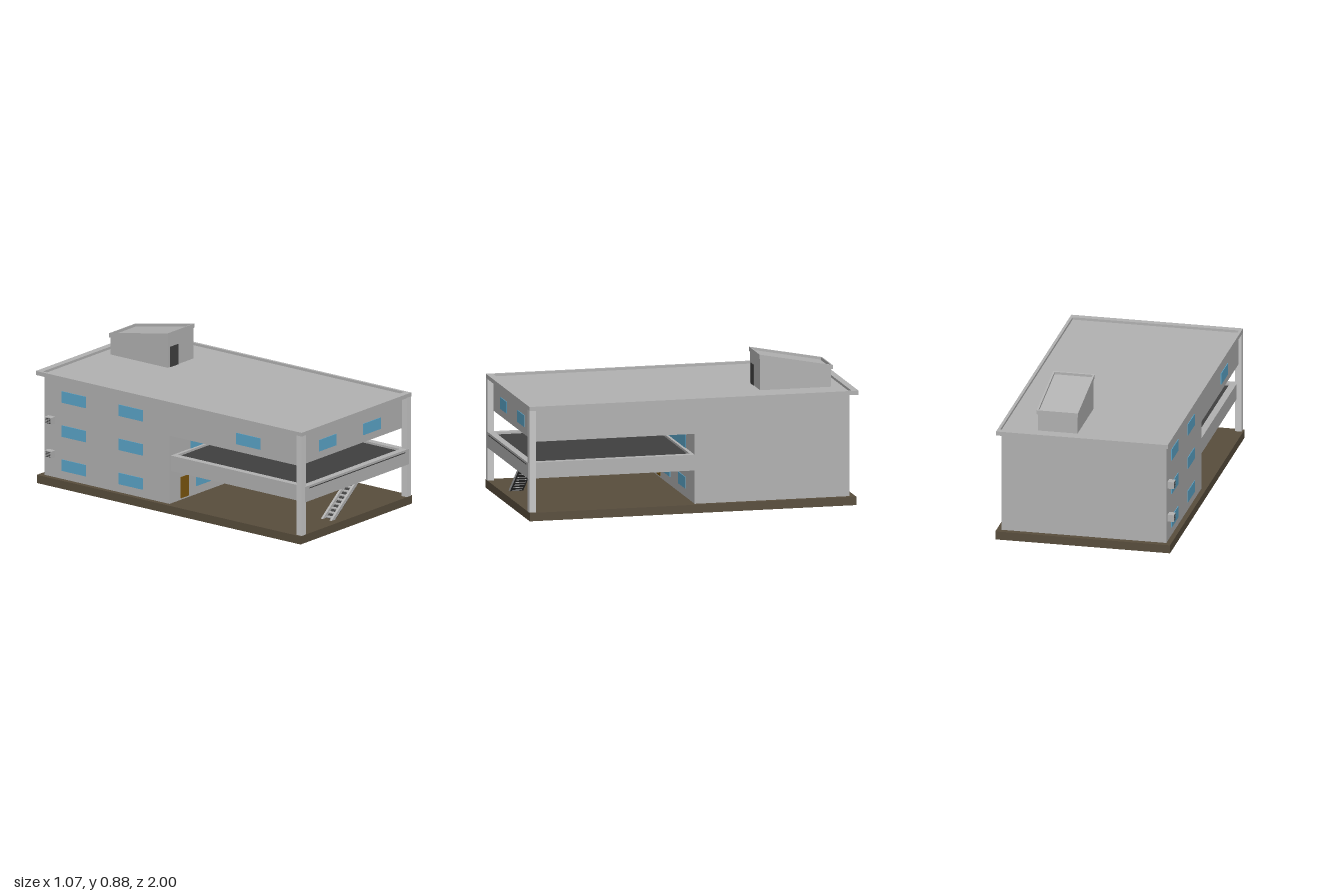
import * as THREE from 'three';

const mat = (name, color) => {
  const m = new THREE.MeshStandardMaterial({ color });
  m.name = name;
  return m;
};

export function createModel() {
  const concrete = mat('concrete grey', 0xb3b3b3);
  const pillarGrey = mat('pillar light grey', 0xc8c8c8);
  const soil = mat('base brown', 0x594e3d);
  const glass = mat('window blue', 0x5ca6ca);
  const wood = mat('door brown', 0x7c560e);
  const dark = mat('dark grey', 0x404040);

  const model = new THREE.Group();
  model.name = 'building';

  const add = (name, geometry, material) => {
    const mesh = new THREE.Mesh(geometry, material);
    mesh.name = name;
    model.add(mesh);
    return mesh;
  };
  // Box given by its limits on each axis
  const box = (name, material, x0, x1, y0, y1, z0, z1) => add(name,
    new THREE.BoxGeometry(x1 - x0, y1 - y0, z1 - z0)
      .translate((x0 + x1) / 2, (y0 + y1) / 2, (z0 + z1) / 2), material);
  // Rectangular frame lying flat, with border widths tx and tz
  const ring = (x0, x1, y0, y1, z0, z1, tx, tz) => {
    const rect = (P, a, b, c, d) => new P([[a, c], [b, c], [b, d], [a, d]].map(p => new THREE.Vector2(...p)));
    const shape = rect(THREE.Shape, x0, x1, -z1, -z0);
    shape.holes.push(rect(THREE.Path, x0 + tx, x1 - tx, -z1 + tz, -z0 - tz));
    return new THREE.ExtrudeGeometry(shape, { depth: y1 - y0, bevelEnabled: false })
      .rotateX(-Math.PI / 2).translate(0, y0, 0);
  };

  // Ground slab, enclosed rear block and overhanging top floor
  box('base', soil, -0.525, 0.53, 0, 0.05, -0.985, 1);
  box('rearBlock', concrete, -0.495, 0.5, 0.05, 0.662, -0.95, -0.01);
  box('upperFloor', concrete, -0.495, 0.5, 0.47, 0.662, -0.01, 0.965);

  // Front pillars
  box('rightPillar', pillarGrey, -0.515, -0.475, 0.05, 0.662, 0.96, 1);
  box('leftPillar', pillarGrey, 0.48, 0.52, 0.05, 0.662, 0.96, 1);

  // Main roof with a low parapet
  box('roofSlab', concrete, -0.505, 0.51, 0.66, 0.67, -0.98, 0.98);
  add('roofParapet', ring(-0.515, 0.522, 0.66, 0.685, -1, 1, 0.017, 0.04), concrete);

  // Middle deck: rim around a dark floor
  add('deckRim', ring(-0.483, 0.4995, 0.25, 0.345, -0.03, 1.002, 0.04, 0.04), concrete);
  box('deckFloor', dark, -0.442, 0.46, 0.327, 0.332, -0.01, 1.004);

  // Flat panels on the wall behind the deck
  const frontPanel = (name, m, x0, x1, y0, y1, z) => box(name, m, x0, x1, y0, y1, z, z + 0.004);
  frontPanel('groundDoor', wood, -0.39, -0.315, 0.06, 0.19, -0.01);
  frontPanel('groundWindow', glass, -0.245, -0.08, 0.1, 0.17, -0.01);
  frontPanel('groundWindow', glass, 0.115, 0.285, 0.1, 0.17, -0.01);
  frontPanel('deckWindow', glass, -0.298, 0.296, 0.244, 0.443, -0.01);
  frontPanel('upperWindow', glass, -0.305, -0.145, 0.515, 0.585, 0.965);
  frontPanel('upperWindow', glass, 0.108, 0.272, 0.515, 0.585, 0.965);

  // Windows along the right wall
  const sideWindow = (y, z) =>
    box('sideWindow', glass, -0.499, -0.495, y - 0.035, y + 0.035, z - 0.09, z + 0.09);
  for (const y of [0.135, 0.345, 0.555]) {
    for (const z of [-0.73, -0.3]) sideWindow(y, z);
  }
  sideWindow(0.55, 0.585);

  // Air conditioners with dark grilles
  const airConditioner = (x, y, z, turn) => {
    const unit = new THREE.Group();
    unit.name = 'airConditioner';
    const body = new THREE.Mesh(new THREE.BoxGeometry(0.05, 0.042, 0.038), concrete);
    body.name = 'casing';
    body.position.z = 0.019;
    unit.add(body);
    for (let i = 0; i < 4; i++) {
      const slat = new THREE.Mesh(new THREE.BoxGeometry(0.036, 0.004, 0.002), dark);
      slat.name = 'grilleSlat';
      slat.position.set(0, -0.0135 + i * 0.009, 0.039);
      unit.add(slat);
    }
    unit.position.set(x, y, z);
    unit.rotation.y = turn;
    model.add(unit);
  };
  airConditioner(0.02, 0.195, -0.01, 0);
  airConditioner(-0.495, 0.195, -0.895, -Math.PI / 2);
  airConditioner(-0.495, 0.402, -0.895, -Math.PI / 2);

  // Stair flight: two sloping stringers, dark underside and treads
  const profile = pts => new THREE.Shape(pts.map(p => new THREE.Vector2(...p)));
  const slope = profile([[-0.17, 0.05], [-0.137, 0.05], [0.1, 0.236], [0.086, 0.252]]);
  const flight = (name, m, z0, z1) => add(name,
    new THREE.ExtrudeGeometry(slope, { depth: z1 - z0, bevelEnabled: false }).translate(0, 0, z0), m);
  flight('stairStringer', concrete, 0.87, 0.885);
  flight('stairStringer', concrete, 0.935, 0.95);
  const under = profile([[-0.139, 0.05], [-0.135, 0.05], [0.102, 0.236], [0.098, 0.238]]);
  add('stairUnderside', new THREE.ExtrudeGeometry(under, { depth: 0.08, bevelEnabled: false })
    .translate(0, 0, 0.87), dark);
  for (let i = 0; i < 9; i++) {
    const x = -0.135 + i * 0.026, y = 0.062 + i * 0.0204;
    box('stairTread', concrete, x - 0.013, x + 0.013, y - 0.006, y, 0.88, 0.94);
  }

  // Rooftop stair house: walls and a roof sloping down to the back
  const drop = z => (z + 0.455) * 0.19;
  const tilt = geometry => {
    const p = geometry.attributes.position;
    for (let i = 0; i < p.count; i++) {
      if (p.getY(i) > 0.8) p.setY(i, p.getY(i) + drop(p.getZ(i)));
    }
    geometry.computeVertexNormals();
    return geometry;
  };
  tilt(box('stairHouse', concrete, 0.055, 0.295, 0.668, 0.862, -0.89, -0.46).geometry);
  tilt(box('stairHouseRoof', concrete, 0.06, 0.29, 0.861, 0.87, -0.885, -0.465).geometry);
  add('stairHouseParapet', tilt(ring(0.05, 0.3, 0.86, 0.885, -0.9, -0.455, 0.01, 0.01)), concrete);
  frontPanel('stairHouseDoor', dark, 0.075, 0.15, 0.67, 0.795, -0.46);

  return model;
}
